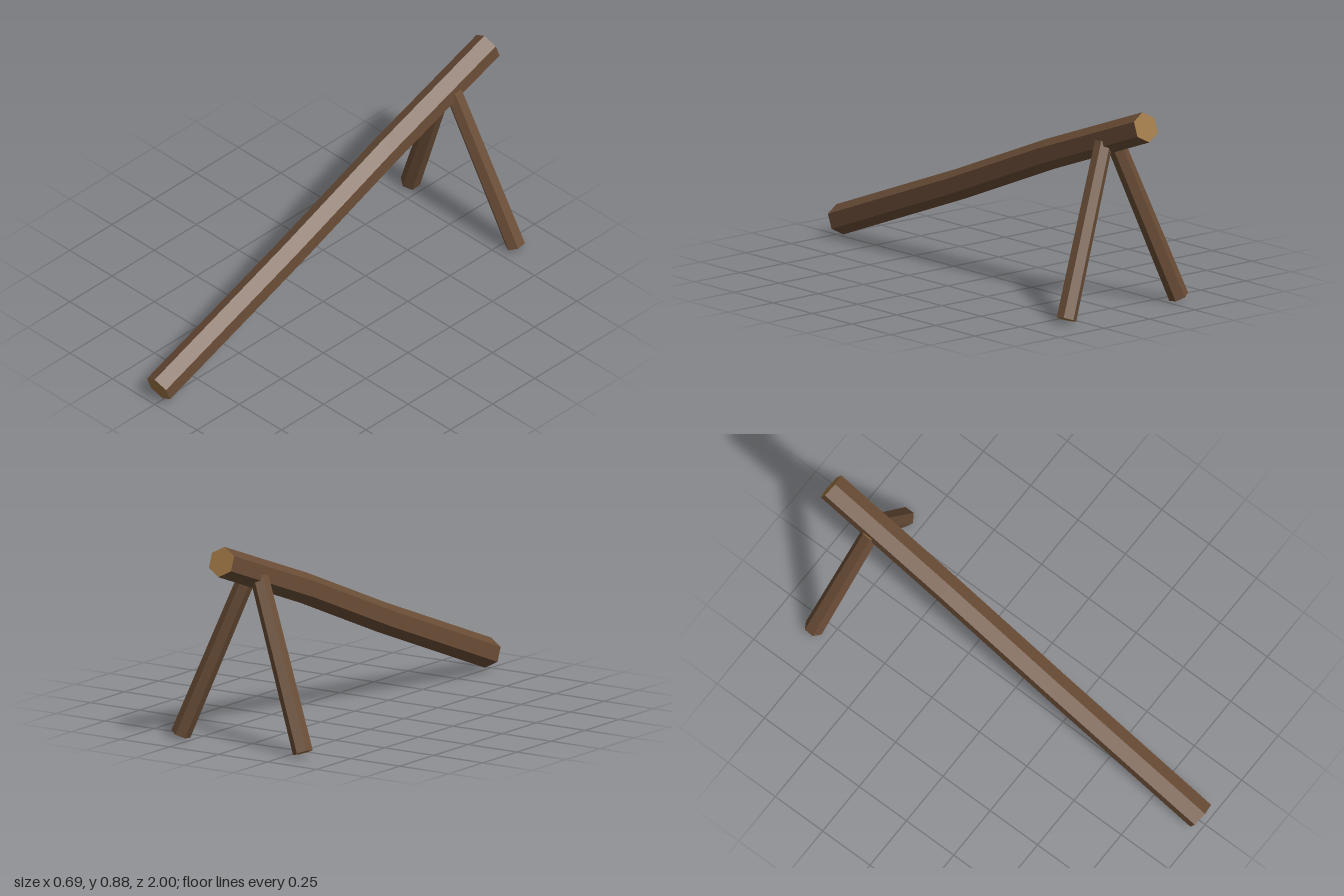
import * as THREE from 'three';

const SIDES = 6;

// Six-sided log lofted through centre points; ref is the way one corner edge faces.
function makeLog(name, points, radii, ref, materials) {
  const rings = points.map((p, i) => {
    const prev = points[Math.max(i - 1, 0)];
    const next = points[Math.min(i + 1, points.length - 1)];
    const t = next.clone().sub(prev).normalize();
    const u = ref.clone().addScaledVector(t, -ref.dot(t)).normalize();
    const v = t.clone().cross(u);
    return Array.from({ length: SIDES }, (_, k) => {
      const a = (k / SIDES) * Math.PI * 2;
      return p.clone()
        .addScaledVector(u, Math.cos(a) * radii[i])
        .addScaledVector(v, Math.sin(a) * radii[i]);
    });
  });

  const verts = [];
  const tri = (...corners) => corners.forEach((c) => verts.push(c.x, c.y, c.z));

  // Bark faces
  for (let i = 0; i < rings.length - 1; i++) {
    for (let k = 0; k < SIDES; k++) {
      const n = (k + 1) % SIDES;
      tri(rings[i][k], rings[i][n], rings[i + 1][n]);
      tri(rings[i][k], rings[i + 1][n], rings[i + 1][k]);
    }
  }
  const barkCount = verts.length / 3;

  // Sawn ends
  const last = rings.length - 1;
  for (let k = 0; k < SIDES; k++) {
    const n = (k + 1) % SIDES;
    tri(points[0], rings[0][n], rings[0][k]);
    tri(points[last], rings[last][k], rings[last][n]);
  }

  const geometry = new THREE.BufferGeometry();
  geometry.setAttribute('position', new THREE.Float32BufferAttribute(verts, 3));
  geometry.addGroup(0, barkCount, 0);
  geometry.addGroup(barkCount, verts.length / 3 - barkCount, 1);
  geometry.computeVertexNormals();
  const mesh = new THREE.Mesh(geometry, materials);
  mesh.name = name;
  return mesh;
}

export function createModel() {
  const bark = new THREE.MeshStandardMaterial({ color: 0x6b4e37 });
  bark.name = 'bark';
  const cutWood = new THREE.MeshStandardMaterial({ color: 0x9c7442 });
  cutWood.name = 'cut wood';
  const materials = [bark, cutWood];
  const V = (x, y, z) => new THREE.Vector3(x, y, z);

  const group = new THREE.Group();
  group.name = 'proppedLog';

  // Long, slightly crooked beam rising to the back
  group.add(makeLog('beam',
    [V(0, 0.07, 0.977), V(0, 0.366, 0.2), V(0, 0.598, -0.37), V(0, 0.822, -0.977)],
    [0.065, 0.065, 0.065, 0.065], V(0, 1, 0), materials));

  // Pair of splayed support legs under the raised end
  for (const [name, s] of [['leftLeg', 1], ['rightLeg', -1]]) {
    group.add(makeLog(name,
      [V(s * 0.311, 0.017, -0.828), V(s * 0.029, 0.72, -0.742)],
      [0.043, 0.039], V(0, 0, 1), materials));
  }
  return group;
}
